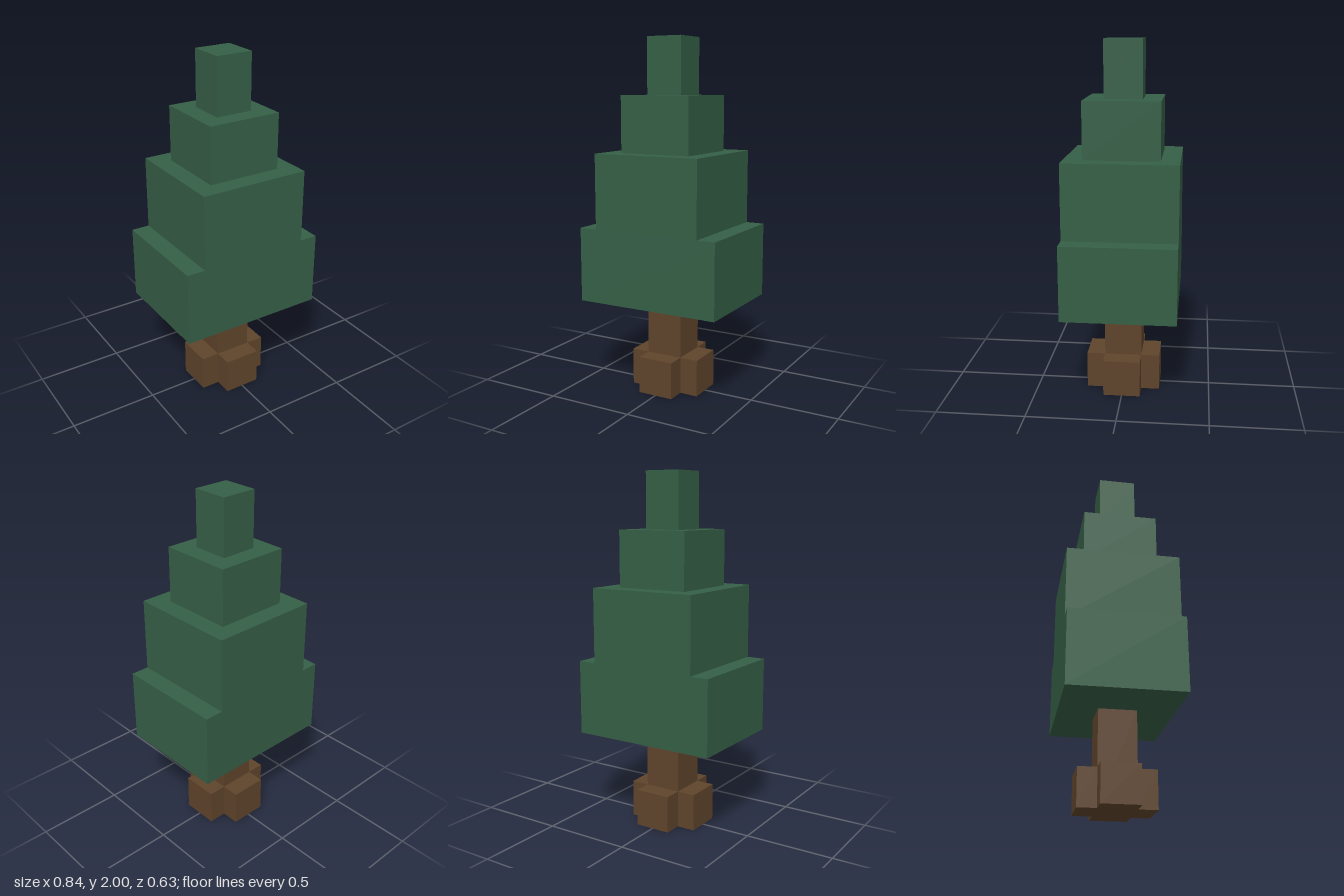
import * as THREE from 'three';

// The whole tree sits on a block grid, 19 blocks tall
const U = 2 / 19;

const foliage = new THREE.MeshStandardMaterial({ color: 0x355f46 });
foliage.name = 'foliage green';
const bark = new THREE.MeshStandardMaterial({ color: 0x5f442b });
bark.name = 'bark brown';

// Box given in block units, standing on height y
function block(name, material, w, h, d, x, y, z) {
  const mesh = new THREE.Mesh(new THREE.BoxGeometry(w * U, h * U, d * U), material);
  mesh.position.set(x * U, (y + h / 2) * U, z * U);
  mesh.name = name;
  return mesh;
}

export function createModel() {
  const tree = new THREE.Group();
  tree.name = 'blockTree';

  // Trunk
  tree.add(block('trunk', bark, 2, 5, 2, 0, 0, 0));

  // Roots, one against each side of the trunk
  const roots = new THREE.Group();
  roots.name = 'roots';
  for (const s of [1, -1]) {
    roots.add(block(s > 0 ? 'leftRoot' : 'rightRoot', bark, 1, 2, 2, s * 1.5, 0, 0));
    roots.add(block(s > 0 ? 'frontRoot' : 'backRoot', bark, 2, 2, 1, 0, 0, s * 1.5));
  }
  tree.add(roots);

  // Foliage tiers from the bottom up: width, height, depth
  const tiers = [
    ['lowerFoliage', 8, 4, 6],
    ['middleFoliage', 6, 4, 6],
    ['upperFoliage', 4, 3, 4],
    ['treeTop', 2, 3, 2],
  ];
  let y = 5;
  for (const [name, w, h, d] of tiers) {
    tree.add(block(name, foliage, w, h, d, 0, y, 0));
    y += h;
  }
  return tree;
}
